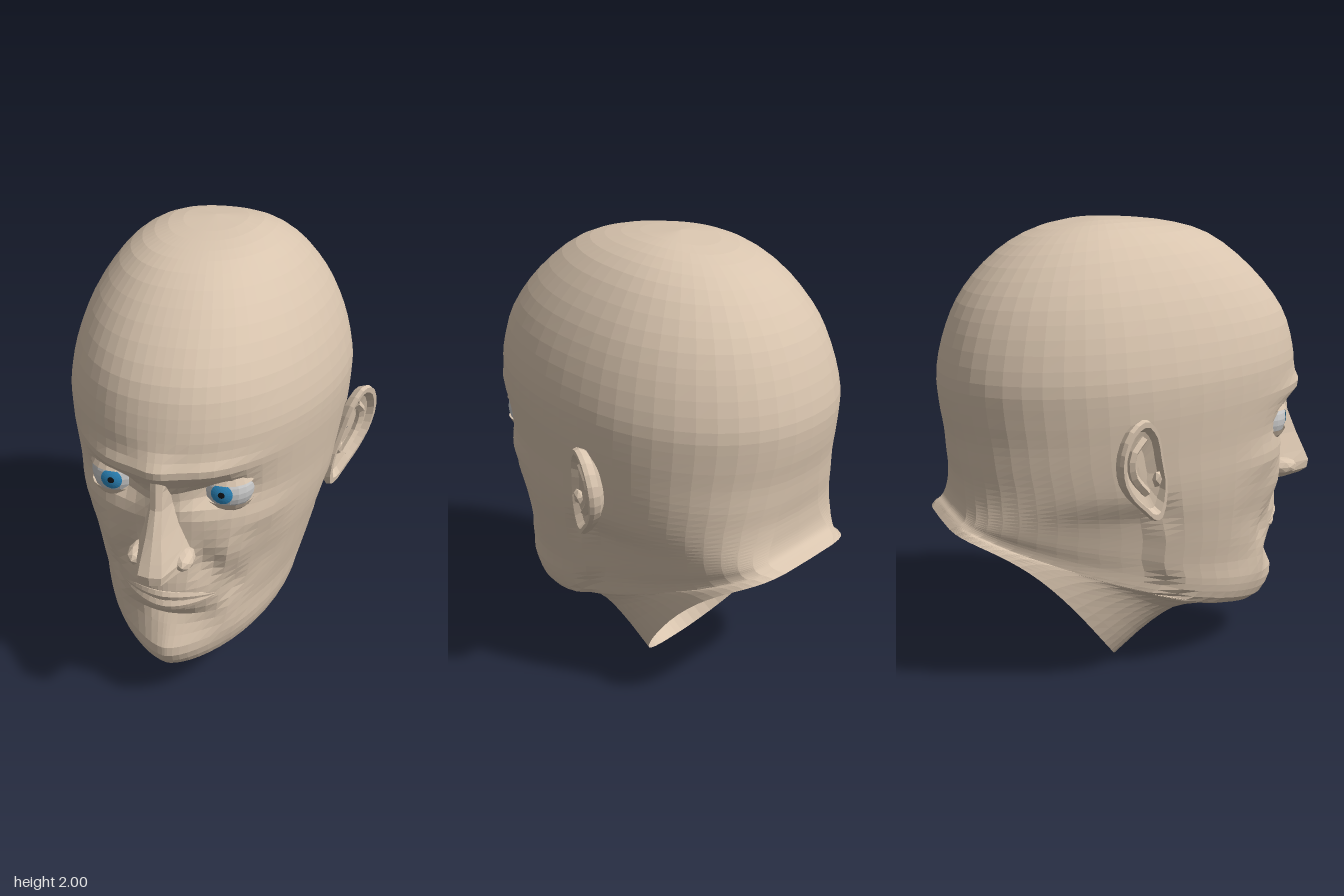
import * as THREE from 'three';

const V = (x, y, z) => new THREE.Vector3(x, y, z);
const paint = (color) => new THREE.MeshStandardMaterial({ color, flatShading: true, side: THREE.DoubleSide });
const clamp = (v) => Math.min(1, Math.max(0, v));
const smooth = (v) => { v = clamp(v); return v * v * (3 - 2 * v); };

// Skin a list of rings (arrays of points) into one surface
function loft(rings, closed) {
  const n = rings[0].length, idx = [], pos = [];
  rings.forEach((ring) => ring.forEach((p) => pos.push(p.x, p.y, p.z)));
  for (let r = 0; r < rings.length - 1; r++) {
    for (let c = 0; c < (closed ? n : n - 1); c++) {
      const a = r * n + c, b = r * n + (c + 1) % n;
      idx.push(a, a + n, b, b, a + n, b + n);
    }
  }
  const g = new THREE.BufferGeometry();
  g.setAttribute('position', new THREE.Float32BufferAttribute(pos, 3));
  g.setIndex(idx);
  g.computeVertexNormals();
  return g;
}

// Skull sections, crown down: front z, y | back z, y | half width, widest point | front, back roundness | sag
const SKULL = [
  [-0.16, 2.0, -0.16, 2.0, 0, 0.5, 1, 0.9, 0],
  [0.12, 1.98, -0.42, 1.95, 0.2, 0.55, 0.9, 0.9, 0.015],
  [0.34, 1.92, -0.6, 1.85, 0.355, 0.57, 0.9, 0.9, 0.01],
  [0.54, 1.77, -0.74, 1.7, 0.482, 0.58, 0.9, 0.9, 0],
  [0.69, 1.59, -0.82, 1.54, 0.56, 0.59, 0.92, 0.9, 0],
  [0.75, 1.42, -0.865, 1.36, 0.603, 0.59, 0.95, 0.9, 0],
  [0.765, 1.3, -0.86, 1.22, 0.605, 0.59, 1, 0.9, 0],
  [0.75, 1.2, -0.84, 1.1, 0.595, 0.59, 1, 0.85, 0],
  [0.72, 1.08, -0.83, 1.0, 0.582, 0.58, 0.98, 0.78, 0],
  [0.7, 0.94, -0.82, 0.92, 0.567, 0.56, 0.97, 0.7, 0],
];
// Jaw and neck sections, down to the slanted cut
const NECK = [
  [0.69, 0.8, -0.82, 0.86, 0.545, 0.54, 1, 0.62, 0],
  [0.68, 0.68, -0.822, 0.82, 0.52, 0.52, 1.05, 0.53, 0],
  [0.67, 0.56, -0.828, 0.79, 0.495, 0.5, 1.1, 0.46, -0.01],
  [0.655, 0.43, -0.835, 0.772, 0.47, 0.49, 1.15, 0.41, -0.03],
  [0.68, 0.29, -0.845, 0.76, 0.447, 0.48, 1.25, 0.38, -0.04],
  [0.6, 0.19, -0.86, 0.75, 0.43, 0.49, 1.25, 0.37, -0.04],
  [0.27, 0.205, -0.87, 0.74, 0.42, 0.51, 1.1, 0.38, 0.02],
  [0.08, 0.14, -0.88, 0.73, 0.415, 0.53, 1, 0.41, 0.065],
  [-0.11, 0.0, -0.89, 0.72, 0.41, 0.55, 1, 0.45, 0.11],
];

// Face relief: |x|, y, spread x, spread y, push in z
const RELIEF = [
  [0, 1.25, 0.08, 0.06, 0.045], [0.2, 1.245, 0.16, 0.045, 0.035],   // brow
  [0.19, 1.105, 0.11, 0.06, -0.085],                                // eye socket
  [0.38, 0.95, 0.12, 0.07, 0.025], [0.27, 0.82, 0.06, 0.09, 0.025], // cheek
  [0.17, 0.75, 0.04, 0.08, -0.035], [0.26, 0.61, 0.04, 0.08, -0.03], // smile fold
  [0.38, 0.68, 0.08, 0.12, -0.02],                                  // cheek hollow
  [0, 0.63, 0.18, 0.13, 0.035], [0, 0.48, 0.13, 0.035, -0.03],      // muzzle
  [0, 0.32, 0.15, 0.09, 0.03], [0.25, 0.45, 0.06, 0.1, 0.025],      // chin
];

function headGeometry() {
  const rows = [...SKULL, ...NECK];
  const track = (f) => new THREE.CatmullRomCurve3(rows.map(f), false, 'catmullrom', 0.5);
  const front = track((r) => V(r[0], r[1], r[4]));
  const back = track((r) => V(r[2], r[3], r[5]));
  const form = track((r) => V(r[6], r[7], r[8]));
  const rings = [], half = 27, count = (rows.length - 1) * 3;
  for (let i = 0; i <= count; i++) {
    const f = front.getPoint(i / count), b = back.getPoint(i / count), k = form.getPoint(i / count);
    const ring = [];
    for (let j = -half; j < half; j++) {
      const a = Math.PI * Math.pow(Math.abs(j) / half, 1.25), cos = Math.cos(a);
      const s = cos > 0 ? b.z * (1 - cos) : b.z - (1 - b.z) * cos;
      let x = f.z * Math.pow(Math.max(0, Math.sin(a)), cos > 0 ? k.x : k.y);
      const y = f.y + (b.y - f.y) * s + k.z * Math.sin(Math.PI * Math.pow(s, 1.2));
      let z = f.x + (b.x - f.x) * s;
      // neck sits in behind the jaw line
      const behind = (y > 0.55 ? -0.03 : -0.03 + (0.55 - y) * 0.7) - z;
      x *= 1 - 0.065 * smooth(behind / 0.06) * clamp(1 - behind / 0.6) * smooth((0.9 - y) / 0.15);
      const facing = smooth((z - 0.25) / 0.2);
      for (const [rx, ry, sx, sy, d] of RELIEF) {
        z += facing * d * Math.exp(-(((x - rx) / sx) ** 2) - ((y - ry) / sy) ** 2);
      }
      ring.push(V(j < 0 ? -x : x, y, z));
    }
    rings.push(ring);
  }
  return loft(rings, true);
}

// Nose sections: y, ridge z, ridge half width, side half width, side z
function noseGeometry() {
  const rows = [
    [1.23, 0.77, 0.03, 0.06, 0.72], [1.16, 0.78, 0.025, 0.045, 0.71], [1.08, 0.79, 0.025, 0.05, 0.69],
    [0.97, 0.835, 0.033, 0.07, 0.71], [0.88, 0.875, 0.045, 0.09, 0.73], [0.83, 0.897, 0.05, 0.1, 0.75],
    [0.79, 0.892, 0.045, 0.1, 0.75], [0.77, 0.86, 0.035, 0.085, 0.74], [0.775, 0.72, 0.02, 0.06, 0.68],
  ];
  return loft(rows.map(([y, zr, hr, hs, zs]) => [
    V(-hs * 1.4, y, 0.6), V(-hs, y, zs), V(-hr, y, zr - 0.01), V(0, y, zr),
    V(hr, y, zr - 0.01), V(hs, y, zs), V(hs * 1.4, y, 0.6),
  ]), false);
}

// Lip: a tapered roll that follows the face from corner to corner
function lipGeometry(y0, rise, thick, faceZ) {
  const rings = [];
  for (let i = 0; i <= 12; i++) {
    const x = -0.2 + i / 30, t = 1 - (x / 0.2) ** 2, y = y0 + rise * t, z = faceZ(x, y) - 0.006;
    const ring = [];
    for (let j = 0; j < 7; j++) {
      const a = (j / 7) * Math.PI * 2, r = 0.008 + thick * t;
      ring.push(V(x, y + Math.sin(a) * r, z + Math.cos(a) * r * 0.8));
    }
    rings.push(ring);
  }
  return loft(rings, true);
}

// Ear: outline in (back, up), rolled over a rim into a hollow
function createEar(skin) {
  const outline = new THREE.CatmullRomCurve3([
    [0.01, -0.21], [-0.01, -0.08], [0.03, 0.06], [0.07, 0.18], [0.14, 0.245], [0.22, 0.215],
    [0.272, 0.11], [0.26, 0], [0.2, -0.09], [0.12, -0.16], [0.05, -0.215],
  ].map(([u, v]) => V(u, v, 0)), true).getPoints(26).slice(0, -1);
  const rings = [[0.6, -0.06], [0.93, -0.03], [1, 0], [0.97, 0.018], [0.86, 0.018], [0.76, -0.01], [0.4, -0.03], [0.02, -0.028]]
    .map(([s, d]) => outline.map((p) => V(0.13 + (p.x - 0.13) * s, 0.03 + (p.y - 0.03) * s, d)));
  const ear = new THREE.Group();
  add(ear, 'earShell', loft(rings, true), skin);
  const fold = new THREE.CatmullRomCurve3([V(0.13, 0.16, -0.01), V(0.19, 0.1, -0.01), V(0.18, 0.01, -0.01), V(0.1, -0.08, -0.005)]);
  add(ear, 'earFold', new THREE.TubeGeometry(fold, 8, 0.02, 5), skin);
  add(ear, 'earFlap', new THREE.IcosahedronGeometry(0.03, 0).scale(0.7, 1.3, 0.7).translate(0.045, -0.03, 0), skin);
  // lean the ear out and back from the side of the head
  ear.children.forEach((m) => m.geometry.applyMatrix4(
    new THREE.Matrix4().makeBasis(V(0.45, 0, -0.9), V(0.14, 1, 0), V(0.9, 0, 0.45)).setPosition(0.57, 1, -0.07)));
  return ear;
}

// Eye: ball, iris, pupil and two lids
function createEye(skin) {
  const eye = new THREE.Group();
  const cap = (r, angle) => new THREE.SphereGeometry(r, 18, 5, 0, Math.PI * 2, 0, angle);
  add(eye, 'eyeball', new THREE.SphereGeometry(0.115, 20, 14), paint(0xd4d6d8));
  add(eye, 'iris', cap(0.1175, 0.4).rotateX(Math.PI / 2), paint(0x2f8fc8));
  add(eye, 'pupil', cap(0.1195, 0.12).rotateX(Math.PI / 2), paint(0x101418));
  add(eye, 'upperLid', cap(0.126, 1.2).rotateX(0.03), skin);
  add(eye, 'lowerLid', cap(0.124, 1.18).rotateX(Math.PI), skin);
  return eye;
}

function add(parent, name, geometry, material) {
  const mesh = new THREE.Mesh(geometry, material);
  mesh.name = name;
  parent.add(mesh);
  return mesh;
}

export function createModel() {
  const model = new THREE.Group();
  model.name = 'head';
  const skin = paint(0xd8c4ae);
  const head = add(model, 'skullFaceAndNeck', headGeometry(), skin);
  const faceZ = (x, y) => {
    const hit = new THREE.Raycaster(V(x, y, 3), V(0, 0, -1)).intersectObject(head)[0];
    return hit ? hit.point.z : 0.65;
  };

  add(model, 'nose', noseGeometry(), skin);
  add(model, 'upperLip', lipGeometry(0.592, 0.026, 0.018, faceZ), skin);
  add(model, 'lowerLip', lipGeometry(0.584, -0.022, 0.021, faceZ), skin);

  for (const side of [1, -1]) {
    const label = side > 0 ? 'left' : 'right';
    const ear = createEar(skin);
    ear.name = label + 'Ear';
    ear.scale.x = side;
    const eye = createEye(skin);
    eye.name = label + 'Eye';
    eye.position.set(side * 0.234, 1.108, 0.53);
    model.add(ear, eye);
    const wing = add(model, label + 'Nostril', new THREE.IcosahedronGeometry(1, 1).scale(0.05, 0.045, 0.09), skin);
    wing.position.set(side * 0.09, 0.825, 0.705);
    wing.rotation.y = side * 0.2;
  }
  return model;
}
